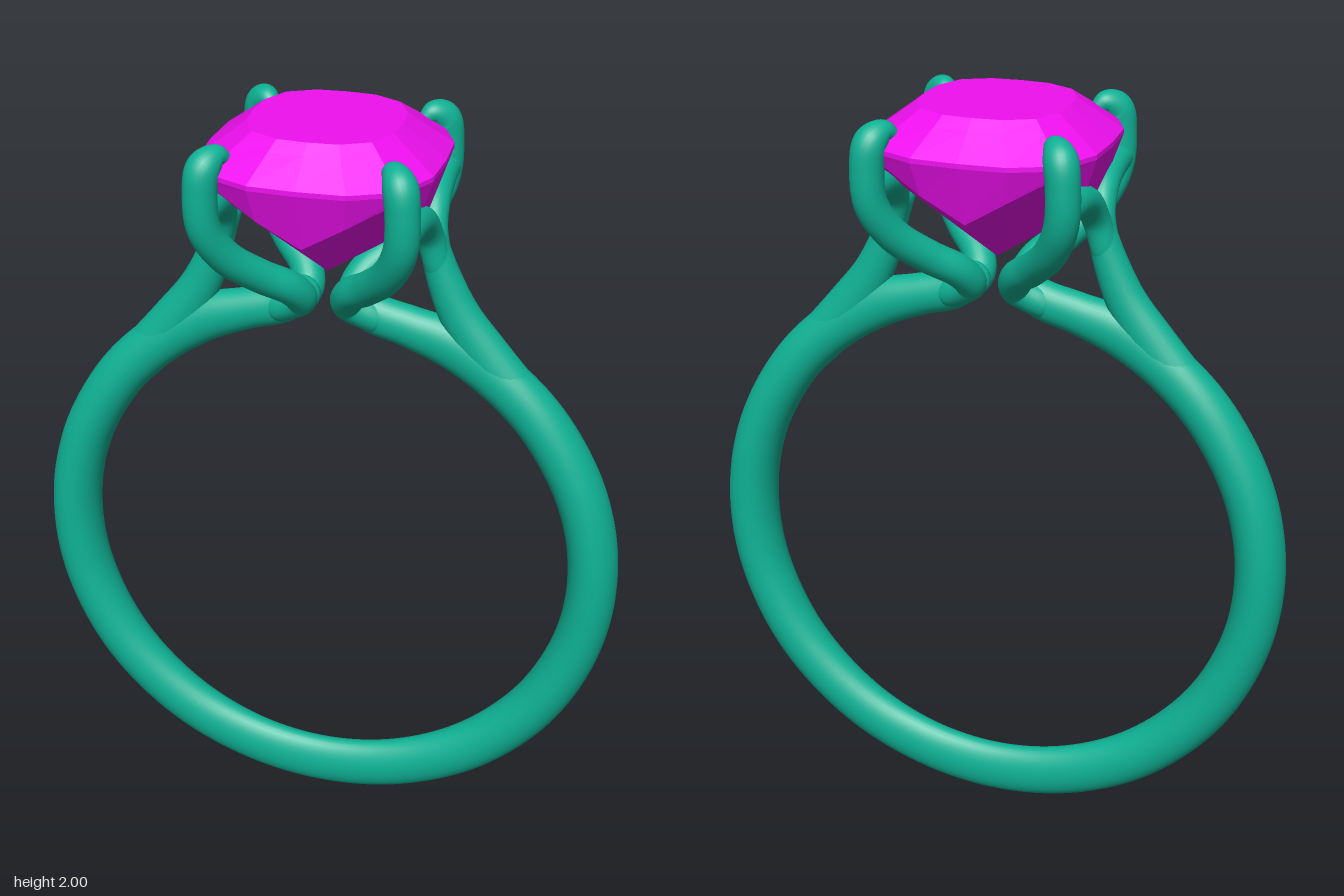
import * as THREE from 'three';

const metal = new THREE.MeshStandardMaterial({ color: 0x0fb295 });
const stone = new THREE.MeshStandardMaterial({ color: 0xf010f0, flatShading: true });

function gridGeometry(rings, closedU) {
  const n = rings[0].length, pos = rings.flat().flatMap(p => [p.x, p.y, p.z]), idx = [];
  for (let i = 0; i < rings.length - 1; i++)
    for (let j = 0; j < n; j++) {
      const k = (j + 1) % n, a = i * n + j, b = i * n + k, c = a + n, d = b + n;
      idx.push(a, b, d, a, d, c);
    }
  const g = new THREE.BufferGeometry();
  g.setAttribute('position', new THREE.Float32BufferAttribute(pos, 3));
  g.setIndex(idx);
  g.computeVertexNormals();
  return g;
}

// Sweep an ellipse along points [x, y, z, halfDepth, halfWidth]; width runs along ref. Ends are domed.
function sweep(name, pts, ref, steps = 8, sides = 24) {
  const path = new THREE.CatmullRomCurve3(pts.map(p => new THREE.Vector3(p[0], p[1], p[2])));
  const size = new THREE.CatmullRomCurve3(pts.map(p => new THREE.Vector3(p[3], p[4] ?? p[3], 0)), false, 'catmullrom');
  const total = (pts.length - 1) * steps, rings = [];
  const addRing = (t, dome, dir) => {
    const tan = path.getTangent(t), s = size.getPoint(t);
    const n = new THREE.Vector3().crossVectors(tan, ref).normalize();
    const b = new THREE.Vector3().crossVectors(tan, n);
    const c = path.getPoint(t).addScaledVector(tan, dir * Math.sin(dome) * Math.min(s.x, s.y));
    const k = Math.max(Math.cos(dome), 0.001), ring = [];
    for (let j = 0; j < sides; j++) {
      const a = j / sides * Math.PI * 2;
      ring.push(c.clone().addScaledVector(n, Math.cos(a) * s.x * k).addScaledVector(b, Math.sin(a) * s.y * k));
    }
    rings.push(ring);
  };
  for (let i = 6; i > 0; i--) addRing(0, i / 6 * Math.PI / 2, -1);
  for (let i = 0; i <= total; i++) addRing(i / total, 0, 0);
  for (let i = 1; i <= 6; i++) addRing(1, i / 6 * Math.PI / 2, 1);
  const mesh = new THREE.Mesh(gridGeometry(rings), metal);
  mesh.name = name;
  return mesh;
}

// Band: round hoop, wide at the sides and narrow below, its two ends rising to meet under the stone
function makeBand() {
  const half = [[0.06, 1.535, 0, 0.045, 0.04], [0.12, 1.498, 0, 0.052, 0.043], [0.21, 1.473, 0, 0.055, 0.045]];
  const angles = [62, 50, 37, 20, 3, -15, -35, -55, -73];
  const widths = [0.049, 0.057, 0.066, 0.074, 0.078, 0.075, 0.068, 0.057, 0.046];
  angles.forEach((deg, i) => {
    const a = deg * Math.PI / 180, low = Math.max(0, -Math.sin(a)) ** 2;
    const r = 0.714 + 0.013 * low;
    half.push([r * Math.cos(a), 0.8 + r * Math.sin(a), 0, 0.065 + 0.008 * low, widths[i]]);
  });
  const other = half.map(p => [-p[0], ...p.slice(1)]).reverse();
  return sweep('band', [...half, [0, 0.073, 0, 0.073, 0.042], ...other], new THREE.Vector3(0, 0, 1), 8, 32);
}

// Gem: cushion cut, stacked outlines from table to culet
function makeGem() {
  const sides = 16;
  const ring = (fn) => Array.from({ length: sides }, (_, j) => {
    const a = -j / sides * Math.PI * 2, c = Math.cos(a), s = Math.sin(a);
    const corner = (1 - Math.cos(4 * a)) / 2; // 0 mid-side, 1 at corner
    const [half, y, n] = fn(corner);
    const r = half * (Math.abs(c) ** n + Math.abs(s) ** n) ** (-1 / n);
    return new THREE.Vector3(r * c, y, r * s);
  });
  const rings = [
    ring(() => [0.0005, 2, 2]),
    ring(() => [0.185, 2, 2.8]),
    ring(() => [0.215, 1.977, 2.9]),
    ring(() => [0.292, 1.92, 3.1]),
    ring(() => [0.292, 1.908, 3.1]),
    ring(k => [0.24 + 0.045 * k, 1.755 + 0.135 * k, 3.1]), // scalloped pavilion break
    ring(() => [0.0005, 1.6, 2]),
  ];
  const mesh = new THREE.Mesh(gridGeometry(rings.reverse()), stone);
  mesh.name = 'gem';
  return mesh;
}

export function createModel() {
  const model = new THREE.Group();
  model.name = 'ring';
  model.add(makeBand(), makeGem());

  for (const sx of [1, -1]) {
    const side = sx > 0 ? 'left' : 'right';
    // Shoulder stem leaving the band and rising to the setting
    const stem = [
      [0.56, 1.243, 0, 0.06, 0.058], [0.478, 1.33, 0, 0.064, 0.055], [0.4, 1.425, 0, 0.062, 0.05],
      [0.337, 1.52, 0, 0.052, 0.046], [0.293, 1.62, 0, 0.043, 0.043], [0.262, 1.72, 0, 0.033, 0.04],
    ].map(p => [sx * p[0], ...p.slice(1)]);
    model.add(sweep(side + 'Shoulder', stem, new THREE.Vector3(0, 0, 1)));

    for (const sz of [1, -1]) {
      const end = side + (sz > 0 ? 'Front' : 'Back');
      const place = p => [sx * p[0], p[1], sz * p[2], p[3]];
      // Arm forking from the stem to the prong
      const arm = [
        [0.28, 1.65, 0.008, 0.034], [0.261, 1.73, 0.022, 0.035], [0.252, 1.785, 0.07, 0.038],
        [0.248, 1.808, 0.14, 0.038], [0.246, 1.815, 0.235, 0.036],
      ].map(place);
      model.add(sweep(end + 'Arm', arm, new THREE.Vector3(1, 0, 0)));
      // Prong turning back from the band end, out around the stone and hooking over it
      const prong = [
        [0.12, 1.495, 0.008, 0.042], [0.062, 1.53, 0.03, 0.042], [0.075, 1.575, 0.072, 0.042],
        [0.135, 1.625, 0.128, 0.042], [0.2, 1.695, 0.195, 0.042], [0.238, 1.78, 0.238, 0.042],
        [0.243, 1.87, 0.247, 0.042], [0.234, 1.935, 0.239, 0.042], [0.212, 1.955, 0.212, 0.03],
        [0.192, 1.945, 0.192, 0.015],
      ].map(place);
      model.add(sweep(end + 'Prong', prong, new THREE.Vector3(sx, 0, -sz)));
    }
  }
  return model;
}
